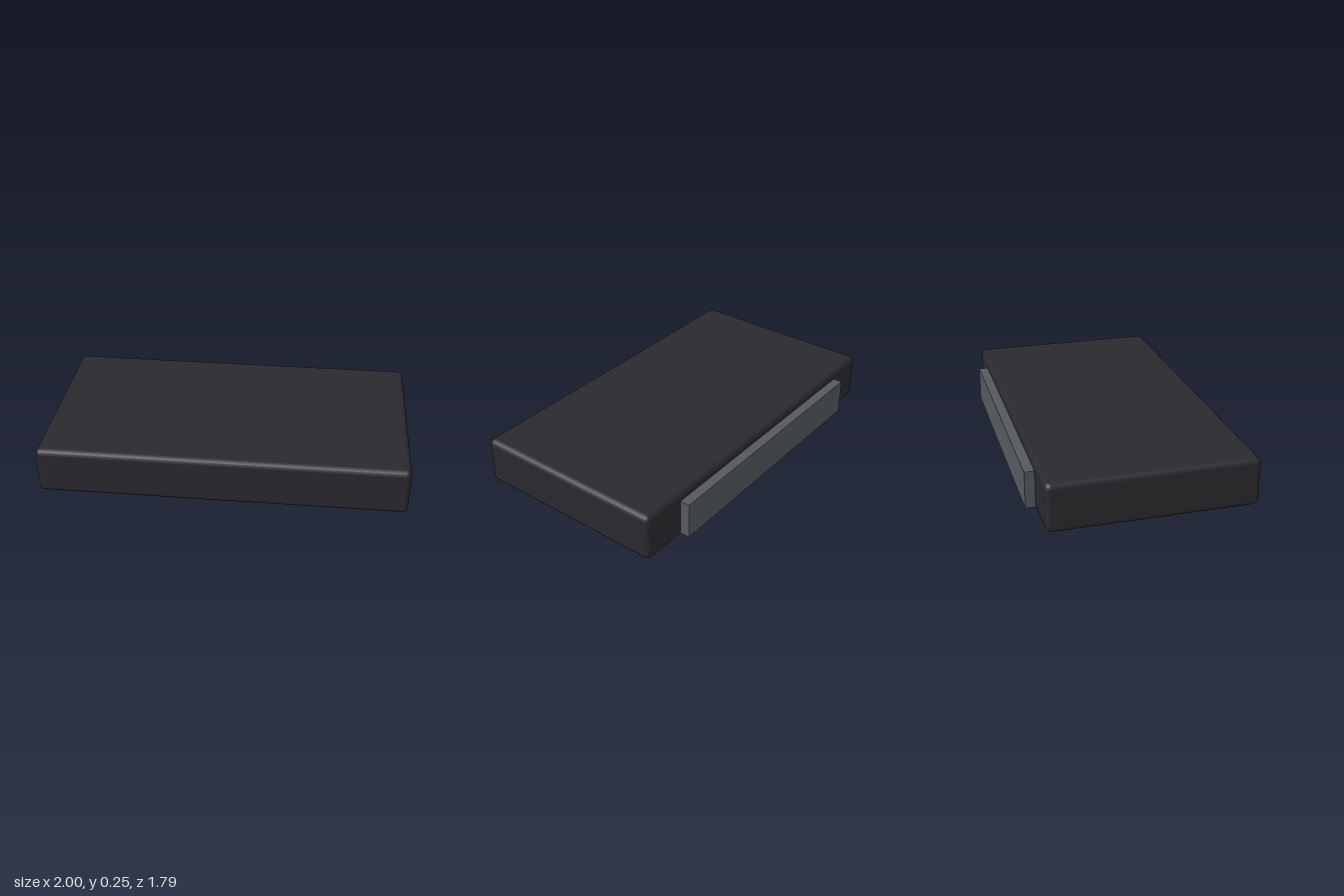
import * as THREE from 'three';
import { RoundedBoxGeometry } from 'three/addons/geometries/RoundedBoxGeometry.js';

const material = (color) => new THREE.MeshStandardMaterial({ color });

export function createModel() {
  const model = new THREE.Group();
  // The whole case lies turned on the ground
  const turned = new THREE.Group();
  turned.name = 'case';
  turned.rotation.y = THREE.MathUtils.degToRad(34.3);
  model.add(turned);

  const dark = material(0x2a292e);
  const steel = material(0x55595e);
  const brass = material(0x68645c);
  const disc = material(0x5e6668);

  const add = (name, geometry, mat, x, y, z) => {
    const mesh = new THREE.Mesh(geometry, mat);
    mesh.name = name;
    mesh.position.set(x, y, z);
    turned.add(mesh);
  };
  const box = (name, mat, [x0, x1], [y0, y1], [z0, z1]) =>
    add(name, new THREE.BoxGeometry(x1 - x0, y1 - y0, z1 - z0), mat,
      (x0 + x1) / 2, (y0 + y1) / 2, (z0 + z1) / 2);

  // Main body with softened edges
  add('body', new RoundedBoxGeometry(1.78, 0.235, 0.98, 2, 0.027), dark, 0, 0.1325, 0);

  // Plate on the back side
  box('backPlate', steel, [-0.665, 0.665], [0.03, 0.21], [-0.537, -0.46]);

  // Underside: label plate with a dark bar, and two round feet
  box('bottomPlate', brass, [-0.775, 0.775], [0.006, 0.03], [-0.373, 0.037]);
  box('bottomBar', dark, [-0.43, 0.43], [0, 0.03], [-0.135, -0.08]);
  for (const side of [-1, 1]) {
    add(side > 0 ? 'leftFoot' : 'rightFoot',
      new THREE.CylinderGeometry(0.14, 0.14, 0.024, 32), disc, side * 0.345, 0.018, 0.25);
  }
  return model;
}
